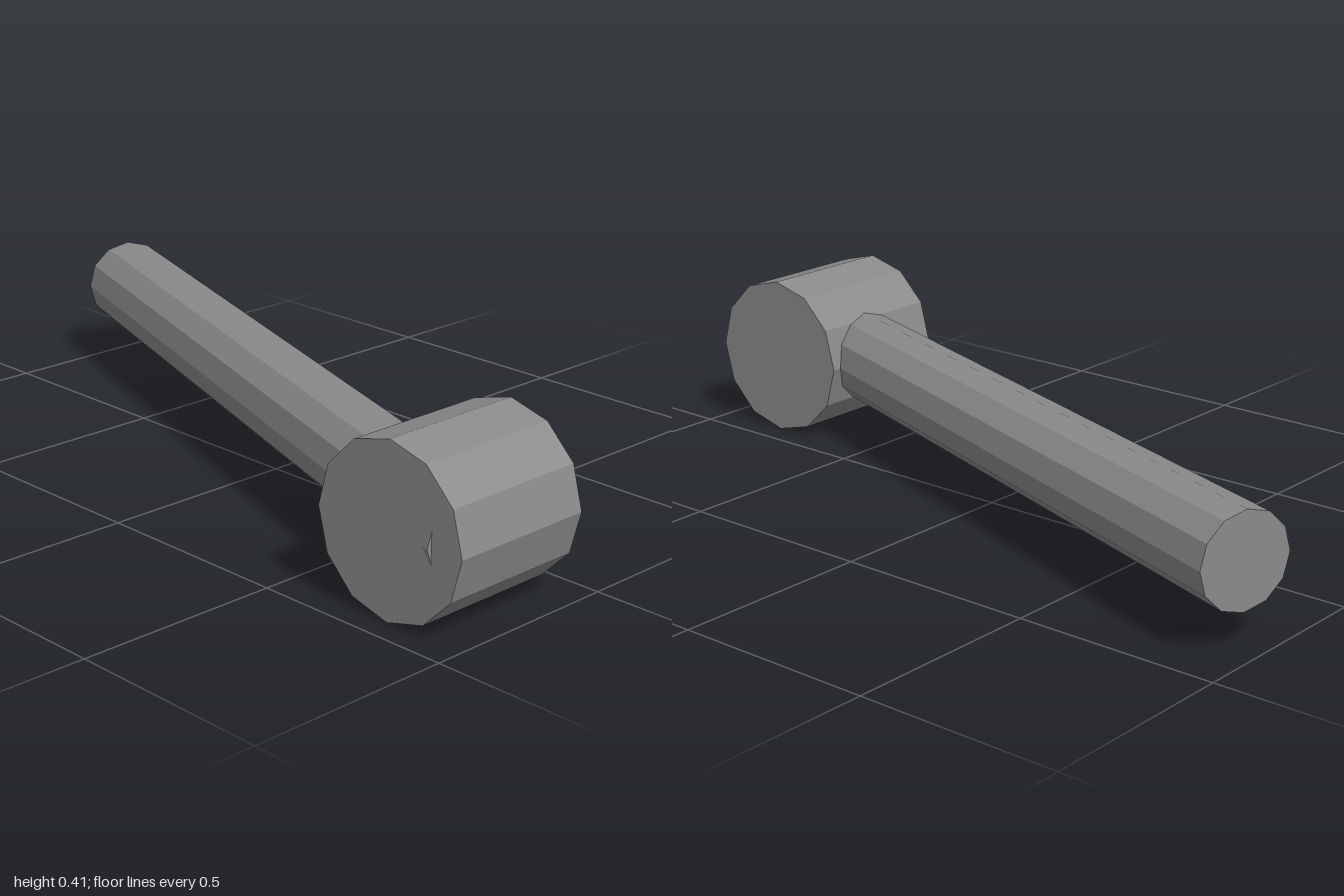
import * as THREE from 'three';

export function createModel() {
  const model = new THREE.Group();
  const material = new THREE.MeshStandardMaterial({ color: 0x8a8a8a, flatShading: true });
  const sides = 12;
  const axisHeight = 0.203;

  // Short drum-shaped head, its axis running front to back
  const headGeometry = new THREE.CylinderGeometry(0.203, 0.203, 0.371, sides).rotateX(Math.PI / 2);
  const head = new THREE.Mesh(headGeometry, material);
  head.name = 'head';
  head.position.set(0.797, axisHeight, 0.2535);
  model.add(head);

  // Long slanted handle, passing through the head until its rim just breaks the front face
  const start = new THREE.Vector2(-0.962, -0.34);
  const end = new THREE.Vector2(0.952, 0.341);
  const handleGeometry = new THREE.CylinderGeometry(0.114, 0.114, start.distanceTo(end), sides).rotateZ(Math.PI / 2);
  const handle = new THREE.Mesh(handleGeometry, material);
  handle.name = 'handle';
  handle.position.set((start.x + end.x) / 2, axisHeight, (start.y + end.y) / 2);
  handle.rotation.y = -Math.atan2(end.y - start.y, end.x - start.x);
  model.add(handle);

  return model;
}
